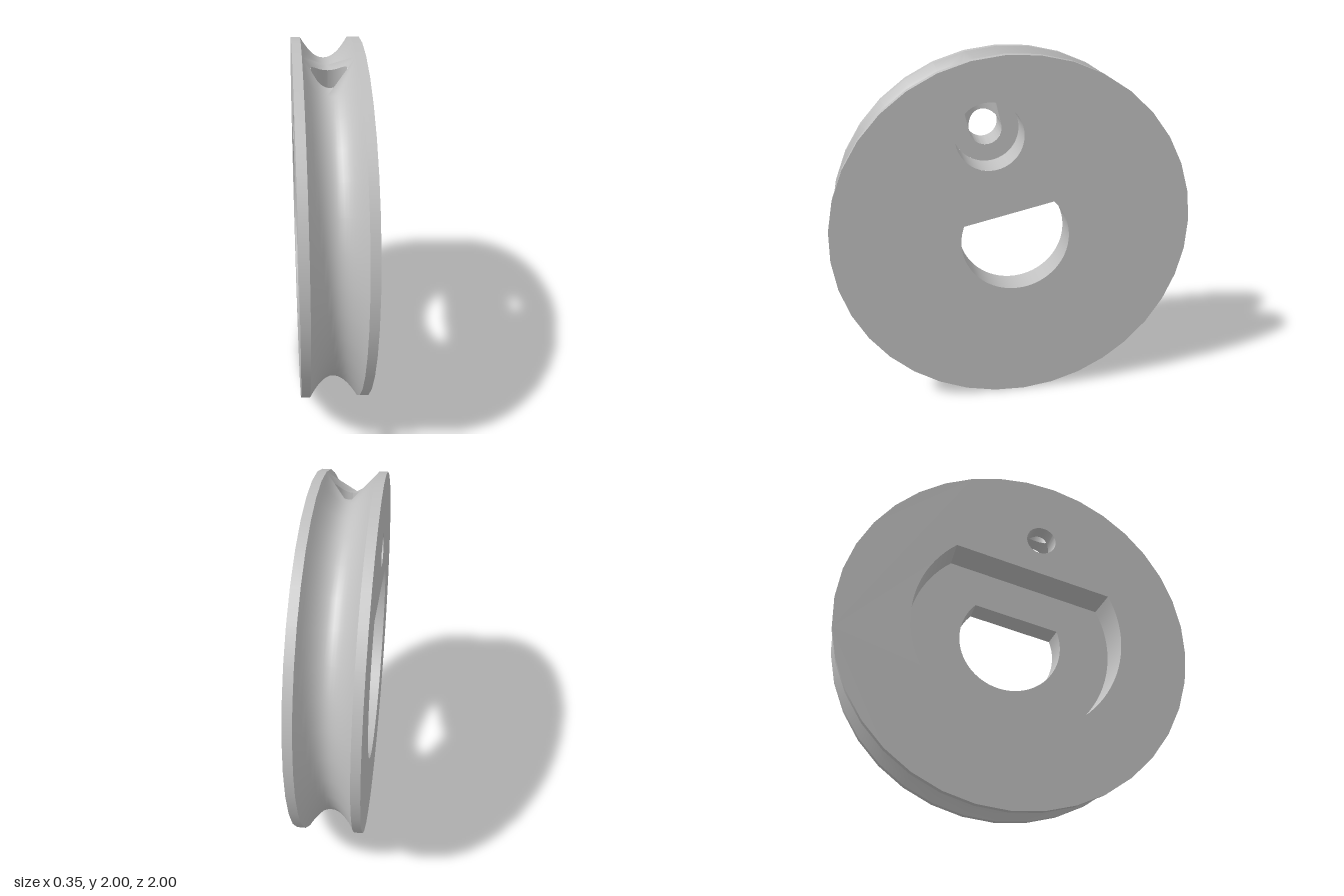
import * as THREE from 'three';
import { toCreasedNormals } from 'three/addons/utils/BufferGeometryUtils.js';

const HALF = 0.177;              // half thickness of the wheel
const LIP = 0.13;                // where the groove starts
const SIDES = 36;
const STEP = (Math.PI * 2) / SIDES;
const TILT = THREE.MathUtils.degToRad(13);
const FLOOR = HALF - 0.15;       // depth of the D recess floor
const HOLE_Y = 0.604, HOLE_R = 0.088, BORE_R = 0.18;

const grooveRadius = (z) => 0.89 + 0.11 * (z / LIP) ** 2;
const grooveTop = (x, z) => grooveRadius(z) - Math.abs(x) * Math.tan(STEP / 2);
const chord = (r, x) => Math.sqrt(Math.max(0, r * r - x * x));

// Circle with its top cut off at height d
function dShape(r, d) {
  const b = Math.asin(d / r);
  const s = new THREE.Shape();
  s.absarc(0, 0, r, Math.PI - b, Math.PI * 2 + b, false);
  s.closePath();
  return s;
}

function circleShape(r, y) {
  const s = new THREE.Shape();
  s.absarc(0, y, r, 0, Math.PI * 2, false);
  return s;
}

function flip(geo) {
  const a = geo.index.array;
  for (let i = 0; i < a.length; i += 3) [a[i], a[i + 1]] = [a[i + 1], a[i]];
  geo.computeVertexNormals();
  return geo;
}

// Flat face at height z, facing +z or (back) -z
function face(shape, holes, z, back, segments = 32) {
  shape.holes.push(...holes);
  const geo = new THREE.ShapeGeometry(shape, segments);
  geo.translate(0, 0, z);
  return back ? flip(geo) : geo;
}

// Inward-facing strip between two rows of points
function strip(low, high, closed) {
  const n = low.length, pos = [], idx = [];
  for (const p of [...low, ...high]) pos.push(...p);
  for (let i = 0; i < (closed ? n : n - 1); i++) {
    const j = (i + 1) % n;
    idx.push(i, n + j, j, i, n + i, n + j);
  }
  const geo = new THREE.BufferGeometry();
  geo.setAttribute('position', new THREE.Float32BufferAttribute(pos, 3));
  geo.setIndex(idx);
  return toCreasedNormals(geo, 0.6);
}

function shaftWall(shape, z0, z1) {
  const pts = shape.getPoints(32);
  if (pts[0].distanceTo(pts[pts.length - 1]) < 1e-6) pts.pop();
  return strip(pts.map((p) => [p.x, p.y, z0]), pts.map((p) => [p.x, p.y, z1]), true);
}

// Round wall whose ends may vary around the circle
function roundWall(r, bottom, top) {
  const low = [], high = [], n = 72;
  for (let i = 0; i < n; i++) {
    const a = (i / n) * Math.PI * 2, x = r * Math.cos(a), y = r * Math.sin(a);
    low.push([x, HOLE_Y + y, bottom(x, y)]);
    high.push([x, HOLE_Y + y, top(x, y)]);
  }
  return strip(low, high, true);
}

// Half of the radial channel, from the side hole out to the groove
function channelHalf(from, start) {
  const low = [], high = [], n = 20;
  for (let i = 0; i <= n; i++) {
    const a = from + (i / n) * Math.PI;
    const x = HOLE_R * Math.cos(a), z = -HOLE_R * Math.sin(a);
    low.push([x, HOLE_Y + start(x), z]);
    high.push([x, grooveTop(x, z), z]);
  }
  return strip(low, high, false);
}

// Piece of groove two facets wide, pierced by the channel
function groovePatch() {
  const n = 16, right = [], left = [];
  for (let i = 0; i <= n; i++) {
    const v = -LIP + (2 * LIP * i) / n;
    const u = grooveRadius(v) * Math.sin(STEP);
    right.push(new THREE.Vector2(u, v));
    left.unshift(new THREE.Vector2(-u, v));
  }
  const mid = (v) => new THREE.Vector2(0, v);
  const shape = new THREE.Shape([...right, mid(LIP), ...left, mid(-LIP)]);
  shape.holes.push(circleShape(HOLE_R, 0));
  const geo = new THREE.ShapeGeometry(shape, 40);
  const p = geo.attributes.position, nrm = geo.attributes.normal;
  for (let i = 0; i < p.count; i++) {
    const x = p.getX(i), z = -p.getY(i), y = grooveTop(x, z), r = Math.hypot(x, y);
    p.setXYZ(i, x, y, z);
    const v = new THREE.Vector3(x / r, y / r, (-0.22 * z) / LIP ** 2).normalize();
    nrm.setXYZ(i, v.x, v.y, v.z);
  }
  return geo;
}

function grooveRing() {
  const pts = [];
  for (let i = 0; i <= 16; i++) {
    const z = -LIP + (2 * LIP * i) / 16;
    pts.push(new THREE.Vector2(grooveRadius(z), z));
  }
  const geo = new THREE.LatheGeometry(pts, SIDES - 2, Math.PI + STEP, Math.PI * 2 - 2 * STEP);
  return geo.rotateX(Math.PI / 2);
}

export function createModel() {
  const grey = new THREE.MeshStandardMaterial({ color: 0xc0c0c0 });
  grey.name = 'grey';
  const wheel = new THREE.Group();
  wheel.name = 'wheel';
  const add = (name, geo) => {
    const mesh = new THREE.Mesh(geo, grey);
    mesh.name = name;
    wheel.add(mesh);
    return mesh;
  };
  const disc = () => new THREE.Shape(Array.from({ length: SIDES }, (_, i) =>
    new THREE.Vector2(Math.cos(i * STEP), Math.sin(i * STEP))));
  const smallD = () => dShape(0.3, 0.161);
  const bigD = () => dShape(0.6, 0.38);

  // Side faces
  add('leftFace', face(disc(), [smallD(), circleShape(BORE_R, HOLE_Y)], HALF, false));
  add('rightFace', face(disc(), [bigD(), circleShape(HOLE_R, HOLE_Y)], -HALF, true));

  // Rims and groove
  for (const [name, s] of [['leftRim', 1], ['rightRim', -1]]) {
    const rim = new THREE.CylinderGeometry(1, 1, HALF - LIP, SIDES, 1, true);
    rim.rotateX(Math.PI / 2).translate(0, 0, (s * (HALF + LIP)) / 2);
    add(name, rim);
  }
  add('groove', grooveRing());
  add('groovePatch', groovePatch());

  // D-shaped axle hole and its wider recess
  add('axleHoleWall', shaftWall(smallD(), FLOOR, HALF));
  add('recessWall', shaftWall(bigD(), -HALF, FLOOR));
  add('recessFloor', face(bigD(), [smallD()], FLOOR, true));

  // Side hole with counterbore, opened by the radial channel
  add('counterboreWall', roundWall(BORE_R, (x, y) => (y > 0 ? chord(HOLE_R, x) : 0), () => HALF));
  add('sideHoleWall', roundWall(HOLE_R, () => -HALF, (x, y) => (y > 0 ? -y : 0)));
  const a = Math.acos(HOLE_R / BORE_R);
  const ledge = new THREE.Shape();
  ledge.absarc(0, HOLE_Y, BORE_R, Math.PI - a, Math.PI * 2 + a, false);
  ledge.absarc(0, HOLE_Y, HOLE_R, 0, -Math.PI, true);
  add('counterboreFloor', face(ledge, [], 0, false));
  add('channelInner', channelHalf(0, (x) => chord(HOLE_R, x)));
  add('channelOuter', channelHalf(Math.PI, (x) => chord(BORE_R, x)));

  // Stand the wheel up with its axle along x
  wheel.rotation.z = TILT;
  const model = new THREE.Group();
  model.name = 'groovedWheel';
  model.add(wheel);
  model.rotation.y = Math.PI / 2;
  model.position.y = 1;
  const root = new THREE.Group();
  root.name = 'model';
  root.add(model);
  return root;
}
